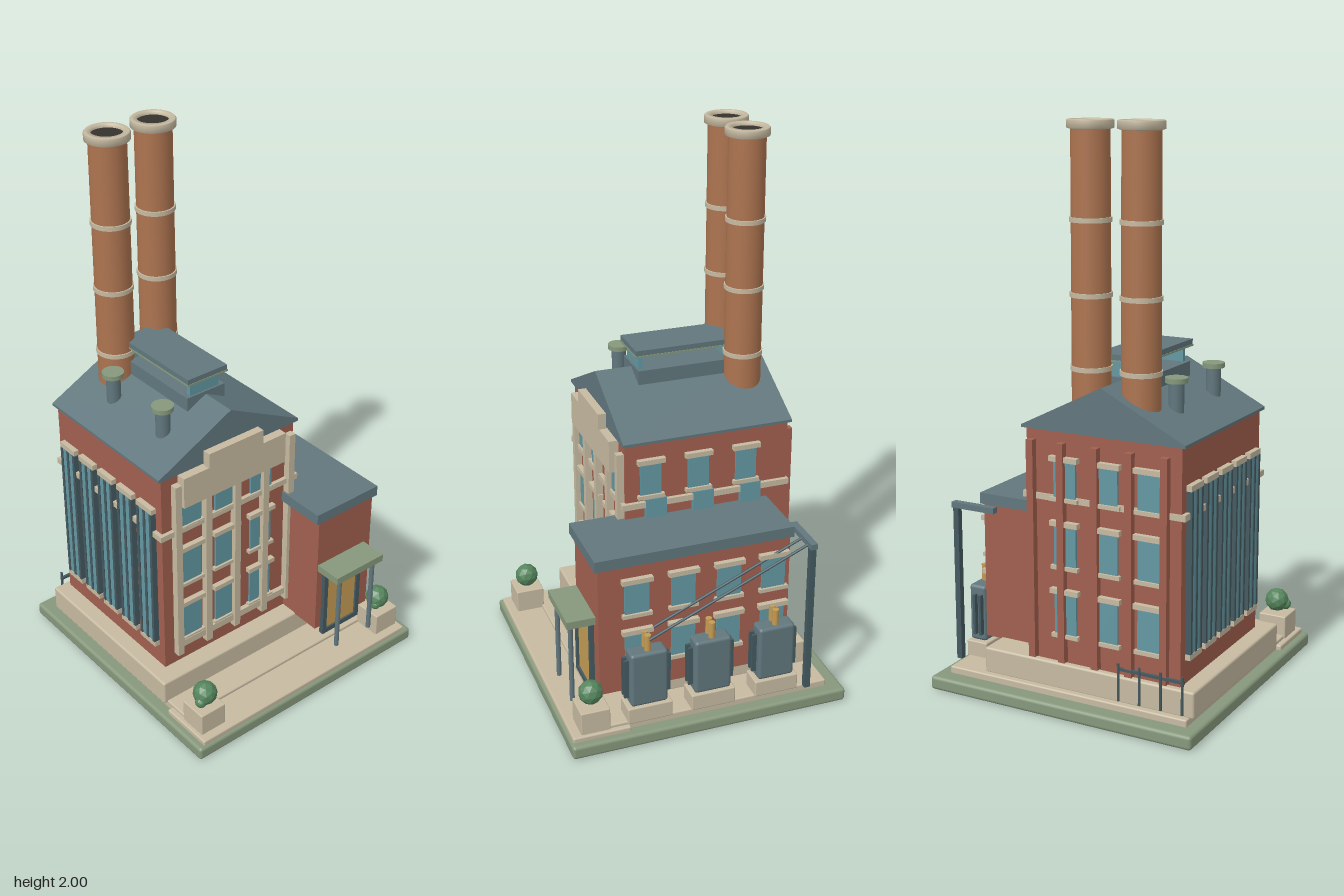
import * as THREE from 'three';
import { RoundedBoxGeometry } from 'three/addons/geometries/RoundedBoxGeometry.js';

const mat = (name, color, extra = {}) => Object.assign(new THREE.MeshStandardMaterial({ color, ...extra }), { name });

export function createModel() {
  const model = new THREE.Group();
  model.name = 'powerHouse';
  const lawn = mat('sageGreen', 0x86987c);
  const stone = mat('paleStone', 0xc6baa1);
  const brick = mat('redBrick', 0xa1604f);
  const slate = mat('slateBlue', 0x61777d);
  const steel = mat('darkSteel', 0x455a60);
  const glass = mat('tealGlass', 0x6398a2);
  const clay = mat('chimneyClay', 0xad7450);
  const brass = mat('brass', 0xc39b54);
  const soot = mat('soot', 0x35332d);
  const leaf = mat('leafGreen', 0x55855d, { flatShading: true });

  const add = (parent, name, geometry, material, x = 0, y = 0, z = 0) => {
    const mesh = new THREE.Mesh(geometry, material);
    mesh.name = name;
    mesh.position.set(x, y, z);
    parent.add(mesh);
    return mesh;
  };
  // Box given by its lowest and highest corners, optionally rounded
  const box = (parent, name, m, x0, x1, y0, y1, z0, z1, r = 0) => {
    const s = [x1 - x0, y1 - y0, z1 - z0];
    const g = r ? new RoundedBoxGeometry(...s, 2, r) : new THREE.BoxGeometry(...s);
    return add(parent, name, g, m, (x0 + x1) / 2, (y0 + y1) / 2, (z0 + z1) / 2);
  };
  // Upright cylinder from y0 to y1
  const rod = (parent, name, m, r, x, y0, y1, z, sides = 16) =>
    add(parent, name, new THREE.CylinderGeometry(r, r, y1 - y0, sides), m, x, (y0 + y1) / 2, z);
  const group = (name, x = 0, y = 0, z = 0, turn = 0) => {
    const g = new THREE.Group();
    g.name = name;
    g.position.set(x, y, z);
    g.rotation.y = turn;
    model.add(g);
    return g;
  };
  // Window on a wall whose outside is local +z
  const wallWindow = (wall, u, y0, y1, w) => {
    box(wall, 'windowPane', glass, u - w / 2, u + w / 2, y0, y1, 0, 0.008);
    box(wall, 'lintel', stone, u - w / 2 - 0.012, u + w / 2 + 0.012, y1, y1 + 0.018, 0, 0.02);
    box(wall, 'sill', stone, u - w / 2 - 0.01, u + w / 2 + 0.01, y0 - 0.014, y0, 0, 0.016);
  };

  // Ground, plinth and front steps
  box(model, 'lawnBase', lawn, -0.515, 0.515, 0, 0.05, -0.515, 0.515, 0.012);
  box(model, 'lowerPlinth', stone, -0.47, 0.47, 0.045, 0.075, -0.455, 0.31, 0.006);
  box(model, 'upperPlinth', stone, -0.485, 0.335, 0.07, 0.165, -0.432, 0.27, 0.008);
  box(model, 'frontPaving', stone, -0.49, 0.487, 0.045, 0.068, 0.295, 0.505, 0.006);
  box(model, 'frontStep', stone, -0.47, 0.47, 0.06, 0.08, 0.26, 0.375, 0.006);

  // Main hall with a string course
  box(model, 'mainHall', brick, -0.425, 0.16, 0.16, 0.99, -0.41, 0.2);
  box(model, 'stringCourse', stone, -0.44, 0.175, 0.738, 0.76, -0.415, 0.215);

  // Gabled roof
  const gable = new THREE.Shape([[-0.44, 0.982], [0.175, 0.982], [0.175, 0.992], [-0.132, 1.147], [-0.44, 0.992]]
    .map(p => new THREE.Vector2(...p)));
  add(model, 'gabledRoof', new THREE.ExtrudeGeometry(gable, { depth: 0.63, bevelEnabled: false }), slate, 0, 0, -0.42);

  // Front and back walls: windows and pilasters
  const pilasters = [-0.37, -0.24, -0.11, 0.02, 0.137];
  const rows = [[0.27, 0.415], [0.515, 0.655], [0.755, 0.88]];
  const front = group('frontWall', 0, 0, 0.2);
  const back = group('backWall', 0, 0, -0.41, Math.PI);
  for (const u of [-0.31, -0.15, 0.01]) {
    for (const [y0, y1] of rows) {
      wallWindow(front, u, y0, y1, 0.095);
      wallWindow(back, -u, y0, y1, 0.085);
    }
  }
  pilasters.forEach(x => {
    box(front, 'stonePilaster', stone, x - 0.013, x + 0.013, 0.21, 0.945, 0, 0.026);
    box(back, 'brickPilaster', brick, -x - 0.013, -x + 0.013, 0.17, 0.945, 0, 0.024);
  });
  box(front, 'baseCourse', stone, -0.38, 0.13, 0.235, 0.262, 0, 0.018);
  box(front, 'parapet', stone, -0.355, 0.095, 0.855, 0.975, 0, 0.036);
  box(front, 'parapetCrest', stone, -0.25, -0.012, 0.975, 1.033, 0.008, 0.04);

  // Main hall, right-hand wall
  const sideWall = group('mainSideWall', 0.16, 0, 0, Math.PI / 2);
  for (const z of [0.107, -0.07, -0.25]) {
    wallWindow(sideWall, -z, 0.785, 0.905, 0.078);
    box(sideWall, 'lowerPane', glass, -z - 0.022, -z + 0.055, 0.6, 0.77, 0, 0.018);
  }

  // Main hall, far wall with tall glazing and mullions
  const tallWall = group('tallWindowWall', -0.425, 0, 0, -Math.PI / 2);
  for (let i = 0; i < 5; i++) {
    const z = -0.335 + i * 0.115;
    box(tallWall, 'tallPane', glass, z - 0.036, z + 0.036, 0.27, 0.83, 0, 0.018);
    box(tallWall, 'tallLintel', stone, z - 0.044, z + 0.044, 0.83, 0.85, 0, 0.02);
    box(tallWall, 'tallSill', stone, z - 0.044, z + 0.044, 0.25, 0.27, 0, 0.02);
    for (const s of [-0.036, 0, 0.036])
      box(tallWall, 'mullion', steel, z + s - 0.006, z + s + 0.006, 0.27, 0.83, 0, 0.021);
  }

  // Twin chimneys with bands and open caps
  for (const x of [-0.226, -0.039]) {
    const stack = group('chimney', x, 0, -0.315);
    add(stack, 'chimneyShaft', new THREE.CylinderGeometry(0.065, 0.067, 0.94, 32), clay, 0, 1.51, 0);
    for (const y of [1.19, 1.435, 1.68]) rod(stack, 'chimneyBand', stone, 0.071, 0, y - 0.008, y + 0.008, 0, 32);
    const cap = [[0.056, 1.985], [0.056, 2], [0.074, 2], [0.078, 1.996], [0.078, 1.972], [0.066, 1.968]];
    const rim = new THREE.LatheGeometry(cap.reverse().map(p => new THREE.Vector2(...p)), 32);
    add(stack, 'chimneyCap', rim, stone);
    rod(stack, 'chimneyMouth', soot, 0.057, 0, 1.975, 1.988, 0, 32);
  }

  // Raised roof light
  box(model, 'roofLightBase', slate, -0.212, -0.05, 1.09, 1.158, -0.29, 0.075);
  for (const z of [0.06, -0.27]) box(model, 'roofLightPane', glass, -0.195, -0.07, 1.158, 1.213, z - 0.008, z + 0.008);
  box(model, 'roofLightTrim', lawn, -0.218, -0.045, 1.211, 1.217, -0.3, 0.087);
  box(model, 'roofLightCover', slate, -0.216, -0.047, 1.217, 1.236, -0.298, 0.085);

  // Roof vents
  for (const z of [-0.222, 0.063]) {
    rod(model, 'ventPipe', slate, 0.026, -0.308, 1.04, 1.148, z);
    rod(model, 'ventCap', lawn, 0.039, -0.308, 1.148, 1.165, z, 24);
  }

  // Side wing
  box(model, 'sideWing', brick, 0.137, 0.397, 0.16, 0.66, -0.325, 0.38);
  box(model, 'wingRoof', slate, 0.116, 0.408, 0.657, 0.697, -0.335, 0.393);
  const wingWall = group('wingWall', 0.397, 0, 0, Math.PI / 2);
  for (const z of [0.243, 0.074, -0.095, -0.262])
    for (const y of [0.27, 0.47]) wallWindow(wingWall, -z, y, y + 0.12, 0.088);

  // Entrance with canopy
  box(model, 'door', brass, 0.185, 0.325, 0.15, 0.43, 0.38, 0.389);
  box(model, 'canopy', lawn, 0.14, 0.367, 0.43, 0.458, 0.375, 0.483);
  for (const x of [0.172, 0.335]) {
    box(model, 'doorJamb', steel, x - 0.009, x + 0.009, 0.13, 0.43, 0.378, 0.396);
    rod(model, 'canopyPost', slate, 0.009, x, 0.12, 0.43, 0.462, 12);
  }
  box(model, 'doorSill', steel, 0.165, 0.342, 0.13, 0.15, 0.375, 0.396);

  // Three transformers on pads
  for (const z of [0.221, -0.015, -0.256]) {
    const unit = group('transformer', 0.437, 0, z);
    box(unit, 'transformerPad', stone, -0.045, 0.04, 0.07, 0.132, -0.082, 0.082, 0.005);
    box(unit, 'transformerTank', slate, -0.034, 0.034, 0.132, 0.342, -0.068, 0.068, 0.012);
    for (const s of [-1, 1])
      for (const x of [-0.02, 0.004])
        box(unit, 'coolingFin', steel, x - 0.005, x + 0.005, 0.16, 0.31, s > 0 ? 0.06 : -0.085, s > 0 ? 0.085 : -0.06);
    for (const x of [-0.019, 0.01]) rod(unit, 'insulator', brass, 0.012, x, 0.335, 0.402, 0, 12);
  }

  // Cable gantry
  box(model, 'gantryPost', steel, 0.47, 0.491, 0.075, 0.65, -0.382, -0.36);
  box(model, 'gantryBeam', slate, 0.32, 0.495, 0.643, 0.664, -0.385, -0.36);
  for (const x of [0.412, 0.462]) {
    const path = new THREE.LineCurve3(new THREE.Vector3(x, 0.39, 0.22), new THREE.Vector3(x, 0.652, -0.37));
    add(model, 'cable', new THREE.TubeGeometry(path, 1, 0.005, 8), steel);
  }

  // Low rail behind the hall
  box(model, 'backRail', steel, -0.45, -0.2, 0.188, 0.198, -0.435, -0.425);
  for (let i = 0; i < 4; i++) rod(model, 'backRailPost', steel, 0.005, -0.445 + i * 0.08, 0.08, 0.215, -0.436, 8);

  // Planters with clipped bushes
  for (const s of [-1, 1]) {
    const planter = group('planter', s * 0.422, 0, 0.42);
    box(planter, 'planterBox', stone, -0.053, 0.053, 0.065, 0.153, -0.053, 0.053, 0.004);
    add(planter, 'bush', new THREE.IcosahedronGeometry(0.044, 1), leaf, s * -0.004, 0.197, 0);
    add(planter, 'smallBush', new THREE.IcosahedronGeometry(0.021, 1), leaf, -0.026, 0.18, 0.014);
  }
  return model;
}
